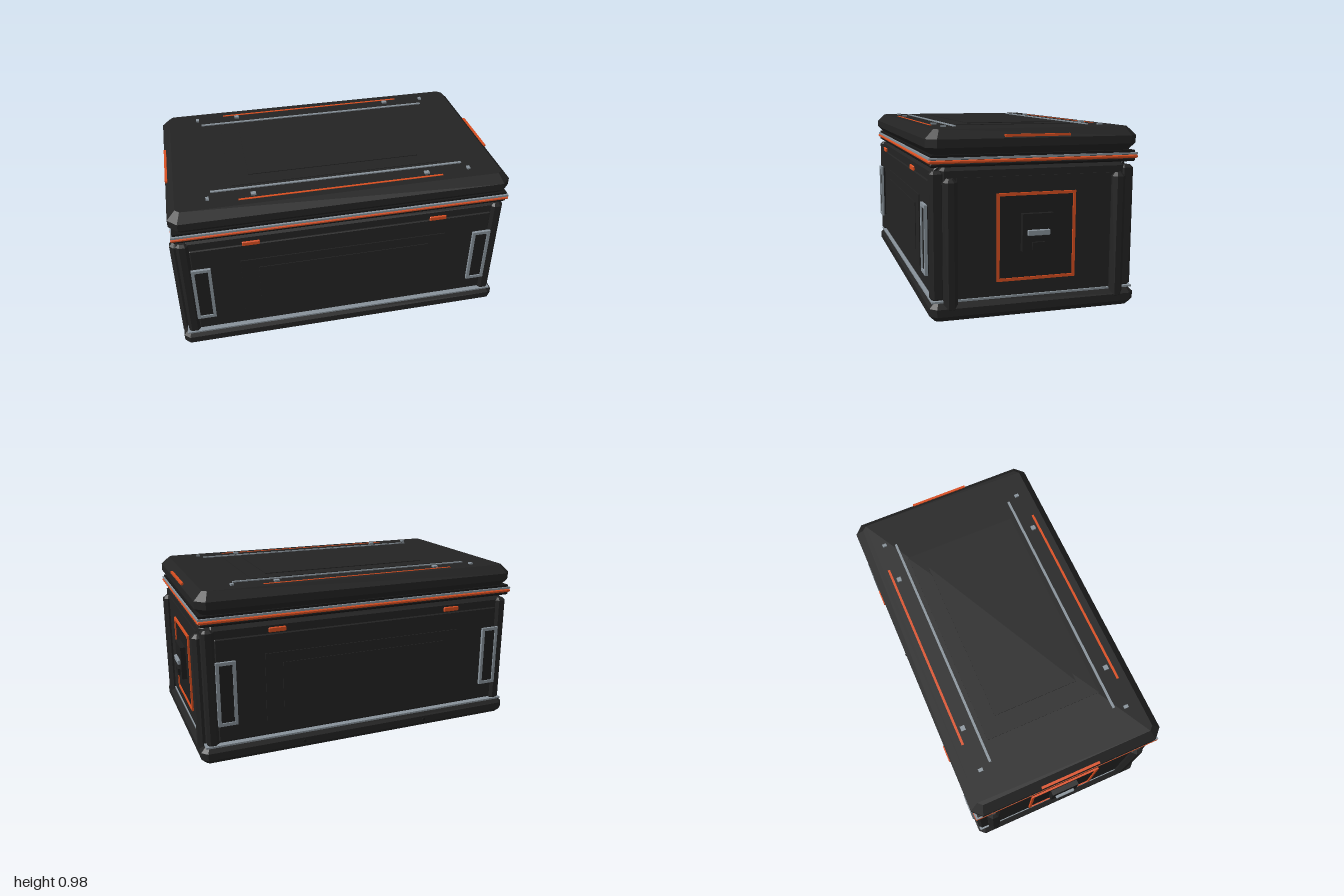
import * as THREE from 'three';

const mat = (name, color) => {
  const m = new THREE.MeshStandardMaterial({ color });
  m.name = name;
  return m;
};

// Box with straight chamfers on every edge, centred on the origin
function chamferBox(w, h, d, c) {
  const x = w / 2 - c, z = d / 2 - c, e = c * 0.5;
  const plan = new THREE.Shape([
    [x - e, -z], [x, -z + e], [x, z - e], [x - e, z],
    [-x + e, z], [-x, z - e], [-x, -z + e], [-x + e, -z],
  ].map(([a, b]) => new THREE.Vector2(a, b)));
  const geo = new THREE.ExtrudeGeometry(plan, {
    depth: h - 2 * c, bevelEnabled: true, bevelSegments: 1, bevelSize: c, bevelThickness: c,
  });
  return geo.translate(0, 0, c - h / 2).rotateX(-Math.PI / 2);
}

// Upright rectangular frame facing +z
function frameGeometry(w, h, border, depth) {
  const rect = (C, a, b) => new C([[-a, -b], [a, -b], [a, b], [-a, b]].map(([p, q]) => new THREE.Vector2(p, q)));
  const shape = rect(THREE.Shape, w / 2, h / 2);
  shape.holes.push(rect(THREE.Path, w / 2 - border, h / 2 - border));
  return new THREE.ExtrudeGeometry(shape, { depth, bevelEnabled: false }).translate(0, 0, -depth / 2);
}

export function createModel() {
  const root = new THREE.Group();
  root.name = 'storageCrate';
  const shell = mat('charcoalShell', 0x232323);
  const dark = mat('darkPanel', 0x1e1e1e);
  const rubber = mat('blackRubber', 0x171717);
  const steel = mat('greySteel', 0x88929a);
  const orange = mat('orangeAccent', 0xd94e20);

  const add = (parent, name, geo, material, x, y, z) => {
    const m = new THREE.Mesh(geo, material);
    m.name = name;
    m.position.set(x, y, z);
    parent.add(m);
    return m;
  };
  // Place by min/max limits, chamfered when c > 0
  const block = (parent, name, material, [x0, x1], [y0, y1], [z0, z1], c = 0) => {
    const w = x1 - x0, h = y1 - y0, d = z1 - z0;
    const geo = c ? chamferBox(w, h, d, c) : new THREE.BoxGeometry(w, h, d);
    return add(parent, name, geo, material, (x0 + x1) / 2, (y0 + y1) / 2, (z0 + z1) / 2);
  };

  // Base, lower trim and main body
  block(root, 'base', shell, [-0.98, 0.98], [0, 0.1], [-0.565, 0.565], 0.03);
  block(root, 'baseTrim', steel, [-0.955, 0.955], [0.096, 0.106], [-0.555, 0.555]);
  block(root, 'body', shell, [-0.945, 0.945], [0.08, 0.785], [-0.505, 0.505], 0.02);

  // Seal and bands between body and lid
  block(root, 'lidSeal', rubber, [-0.955, 0.955], [0.785, 0.804], [-0.555, 0.555], 0.006);
  block(root, 'orangeBand', orange, [-0.965, 0.965], [0.803, 0.82], [-0.565, 0.565], 0.005);
  block(root, 'bandCore', rubber, [-0.955, 0.955], [0.815, 0.845], [-0.55, 0.55]);
  block(root, 'steelBand', steel, [-0.963, 0.963], [0.822, 0.833], [-0.562, 0.562]);

  // Lid with stepped centre panel
  const lid = new THREE.Group();
  lid.name = 'lid';
  root.add(lid);
  block(lid, 'lidShell', shell, [-0.968, 0.968], [0.834, 0.97], [-0.572, 0.572], 0.047);
  block(lid, 'lidPanel', shell, [-0.61, 0.61], [0.96, 0.973], [-0.34, 0.34]);
  block(lid, 'lidInnerPanel', shell, [-0.5, 0.5], [0.965, 0.977], [-0.25, 0.25]);
  for (const s of [-1, 1]) {
    add(lid, 'lidRail', new THREE.BoxGeometry(1.45, 0.014, 0.014), steel, 0, 0.969, s * 0.375);
    add(lid, 'lidStripe', new THREE.BoxGeometry(1.16, 0.008, 0.014), orange, 0, 0.968, s * 0.475);
    add(lid, 'lidEndStripe', new THREE.BoxGeometry(0.014, 0.013, 0.35), orange, s * 0.961, 0.936, 0);
    for (const x of [-0.745, -0.495, 0.495, 0.745]) {
      const w = Math.abs(x) > 0.6 ? 0.018 : 0.028;
      add(lid, 'lidBolt', new THREE.BoxGeometry(w, 0.016, 0.026), steel, x, 0.972, s * 0.44);
    }
  }

  // Front and back faces, one built facing +z and one turned round
  for (const turn of [0, Math.PI]) {
    const face = new THREE.Group();
    face.name = turn ? 'backFace' : 'frontFace';
    face.rotation.y = turn;
    root.add(face);
    block(face, 'facePlate', shell, [-0.92, 0.92], [0.1, 0.78], [0.48, 0.538], 0.025);
    block(face, 'raisedPlate', shell, [-0.88, 0.88], [0.12, 0.71], [0.52, 0.545], 0.006);
    block(face, 'facePanel', shell, [-0.605, 0.605], [0.205, 0.6], [0.54, 0.55]);
    block(face, 'faceInnerPanel', shell, [-0.505, 0.505], [0.275, 0.54], [0.545, 0.554]);
    for (const s of [-1, 1]) {
      add(face, 'cornerPost', chamferBox(0.067, 0.665, 0.075, 0.015), shell, s * 0.912, 0.4325, 0.518);
      add(face, 'handlePlate', new THREE.BoxGeometry(0.09, 0.345, 0.025), dark, s * 0.83, 0.4075, 0.554);
      add(face, 'handleFrame', frameGeometry(0.11, 0.365, 0.018, 0.016), steel, s * 0.83, 0.4075, 0.566);
      add(face, 'latch', chamferBox(0.1, 0.027, 0.013, 0.004), orange, s * 0.54, 0.74, 0.571);
      const pin = add(face, 'basePin', new THREE.CylinderGeometry(0.009, 0.009, 0.014, 8), rubber, s * 0.39, 0.05, 0.564);
      pin.rotation.x = Math.PI / 2;
    }
  }

  // Left and right ends, built facing +z and turned to the sides
  for (const s of [-1, 1]) {
    const end = new THREE.Group();
    end.name = s > 0 ? 'leftEnd' : 'rightEnd';
    end.rotation.y = s * Math.PI / 2;
    root.add(end);
    block(end, 'endPlate', shell, [-0.42, 0.42], [0.11, 0.73], [0.93, 0.95]);
    add(end, 'endFrame', frameGeometry(0.43, 0.46, 0.015, 0.016), orange, 0, 0.415, 0.953);
    block(end, 'endPanel', dark, [-0.2, 0.2], [0.2, 0.63], [0.94, 0.954]);
    block(end, 'handleMount', dark, [-0.085, 0.085], [0.34, 0.537], [0.94, 0.984]);
    block(end, 'handleBar', steel, [-0.06, 0.06], [0.425, 0.454], [0.97, 1.0], 0.003);
    block(end, 'lockBox', dark, [-0.035, 0.035], [0.35, 0.39], [0.97, 0.997]);
    for (const k of [-1, 1]) {
      add(end, 'endRib', chamferBox(0.075, 0.685, 0.07, 0.02), shell, k * 0.457, 0.3875, 0.948);
    }
  }
  return root;
}
